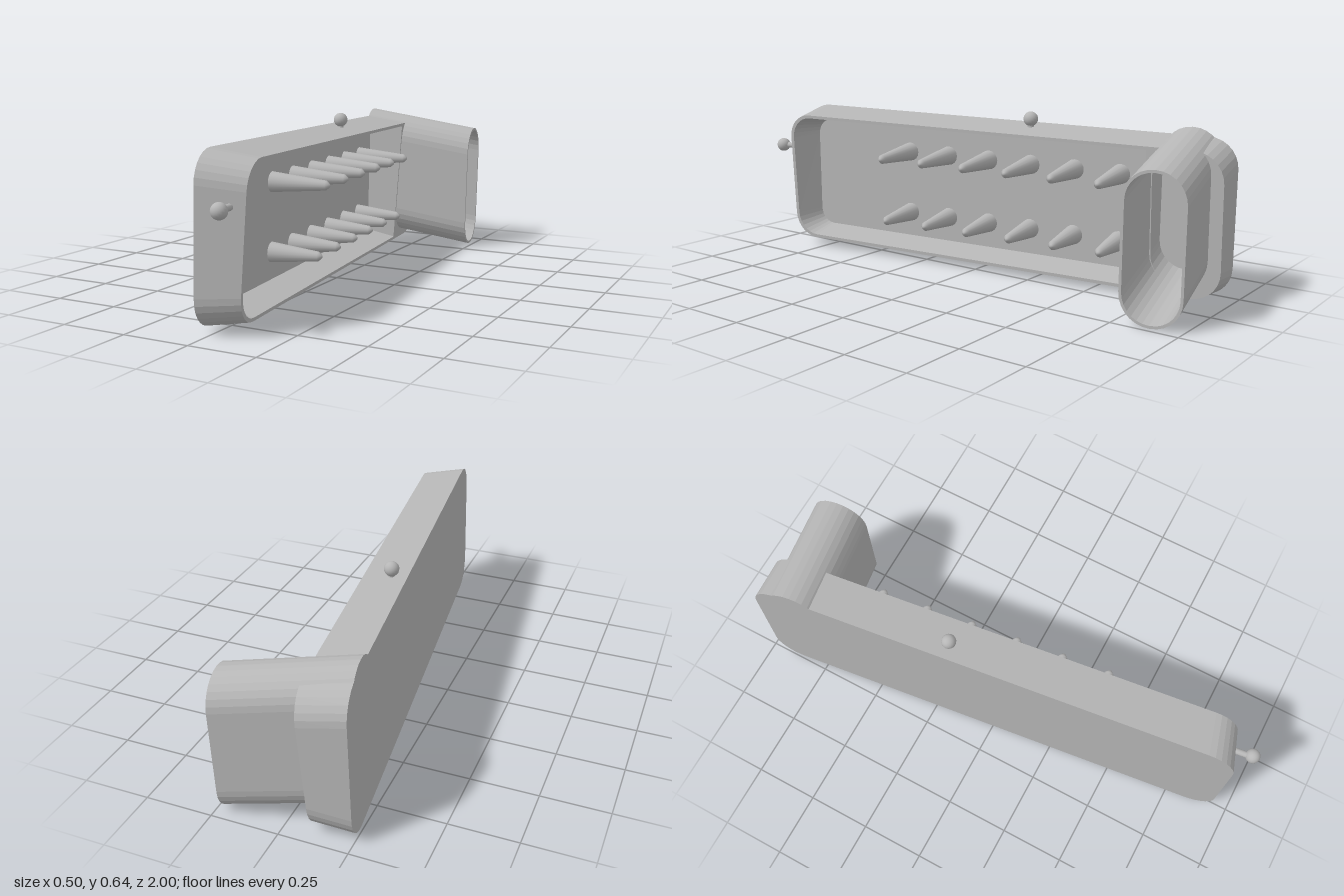
import * as THREE from 'three';

// Local frame: x = depth (open side), y = height, z = length.
const rimX = (y) => 0.158 + 0.05 * y;

// Rounded rectangle, counter-clockwise seen from +x; radii: one per end (back, front).
function ring(z0, z1, y0, y1, rBack, rFront, xAt, n = 7) {
  const pts = [];
  const corners = [
    [z0, y1, rBack, 1, -1, 0], [z1, y1, rFront, -1, -1, 1],
    [z1, y0, rFront, -1, 1, 2], [z0, y0, rBack, 1, 1, 3],
  ];
  for (const [z, y, r, sz, sy, q] of corners) {
    for (let i = 0; i <= n; i++) {
      const a = (q + i / n) * Math.PI / 2;
      const py = y + sy * r + r * Math.sin(a);
      pts.push(new THREE.Vector3(xAt(py), py, z + sz * r - r * Math.cos(a)));
    }
  }
  return pts;
}

function facets(points) {
  const g = new THREE.BufferGeometry().setFromPoints(points);
  g.computeVertexNormals();
  return g;
}

// Wall between two matching rings; inward turns it to face the hollow.
function wall(a, b, inward = false) {
  const out = [];
  a.forEach((p, i) => {
    const j = (i + 1) % a.length;
    if (p.distanceTo(a[j]) < 1e-6 && b[i].distanceTo(b[j]) < 1e-6) return;
    if (inward) out.push(p, b[j], a[j], p, b[i], b[j]);
    else out.push(p, a[j], b[j], p, b[j], b[i]);
  });
  return facets(out);
}

// Flat face filling a ring, optionally with holes.
function face(outer, holes = [], backward = false) {
  const flat = (r) => r.map((p) => new THREE.Vector2(-p.z, p.y));
  const all = [outer, ...holes].flat();
  const out = [];
  for (const [a, b, c] of THREE.ShapeUtils.triangulateShape(flat(outer), holes.map(flat))) {
    out.push(all[a], all[backward ? c : b], all[backward ? b : c]);
  }
  return facets(out);
}

export function createModel() {
  const model = new THREE.Group();
  model.name = 'pegTray';
  const grey = new THREE.MeshStandardMaterial({ color: 0xb6b6b6, side: THREE.DoubleSide });
  grey.name = 'grey';

  const body = new THREE.Group();
  body.name = 'body';
  body.position.set(-0.133, 0.304, -0.02);
  body.rotation.set(-0.01, 0.12, -0.016);
  model.add(body);
  const add = (name, geometry, x = 0, y = 0, z = 0) => {
    const m = new THREE.Mesh(geometry, grey);
    m.name = name;
    m.position.set(x, y, z);
    body.add(m);
    return m;
  };

  // Tray: tapered outside, drafted cavity ending square at the spout
  const backRing = ring(-0.957, 0.957, -0.29, 0.293, 0.11, 0.11, () => 0);
  const rimRing = ring(-0.957, 0.926, -0.268, 0.268, 0.11, 0.1, rimX);
  const cavityTop = ring(-0.677, 0.912, -0.256, 0.256, 0.002, 0.09, rimX);
  const cavityFloor = ring(-0.675, 0.888, -0.232, 0.232, 0.002, 0.065, () => 0.02);
  const spoutHole = ring(-0.9, -0.7, -0.225, 0.262, 0.1, 0.1, rimX);
  add('trayOuterWall', wall(backRing, rimRing));
  add('trayBack', face(backRing, [], true));
  add('trayRim', face(rimRing, [cavityTop, spoutHole]));
  add('trayInnerWall', wall(cavityFloor, cavityTop, true));
  add('trayFloor', face(cavityFloor));

  // Spout: slanted hollow tube running out from the back plane
  const section = (x, t) => {
    const z = -0.787 - 0.07 * x, y = 0.057 - 0.153 * x;
    const w = 0.112 - t, h = 0.266 - t;
    return ring(z - w, z + w, y - h, y + h, w - 0.002, w - 0.002, () => x);
  };
  const spoutBack = section(0, 0), spoutEnd = section(0.47, 0);
  const innerBack = section(0.02, 0.01), innerEnd = section(0.47, 0.01);
  add('spoutOuter', wall(spoutBack, spoutEnd));
  add('spoutInner', wall(innerBack, innerEnd, true));
  add('spoutLip', face(spoutEnd, [innerEnd]));
  add('spoutBack', face(spoutBack, [], true));
  add('spoutFloor', face(innerBack));

  // Two rows of tapered pegs
  for (const [row, y, length] of [['upper', 0.128, 0.222], ['lower', -0.13, 0.197]]) {
    const profile = [[0.038, 0], [0.018, length - 0.014], [0.006, length], [0, length]]
      .map(([r, h]) => new THREE.Vector2(r, h));
    const peg = new THREE.LatheGeometry(profile, 16).rotateZ(-Math.PI / 2);
    for (let i = 0; i < 6; i++) add(row + 'Peg' + (i + 1), peg, 0.02, y, 0.41 - 0.187 * i);
  }

  // Ball knobs on short stems: one on top, one on the front end
  const ball = new THREE.SphereGeometry(0.028, 18, 12);
  add('topKnob', ball, 0.062, 0.314, -0.17);
  add('topKnobStem', new THREE.CylinderGeometry(0.012, 0.012, 0.05, 12), 0.062, 0.286, -0.17);
  add('frontKnob', ball, 0.117, 0.12, 1.012);
  add('frontKnobStem', new THREE.CylinderGeometry(0.012, 0.012, 0.09, 12).rotateX(Math.PI / 2), 0.113, 0.12, 0.965);

  return model;
}
